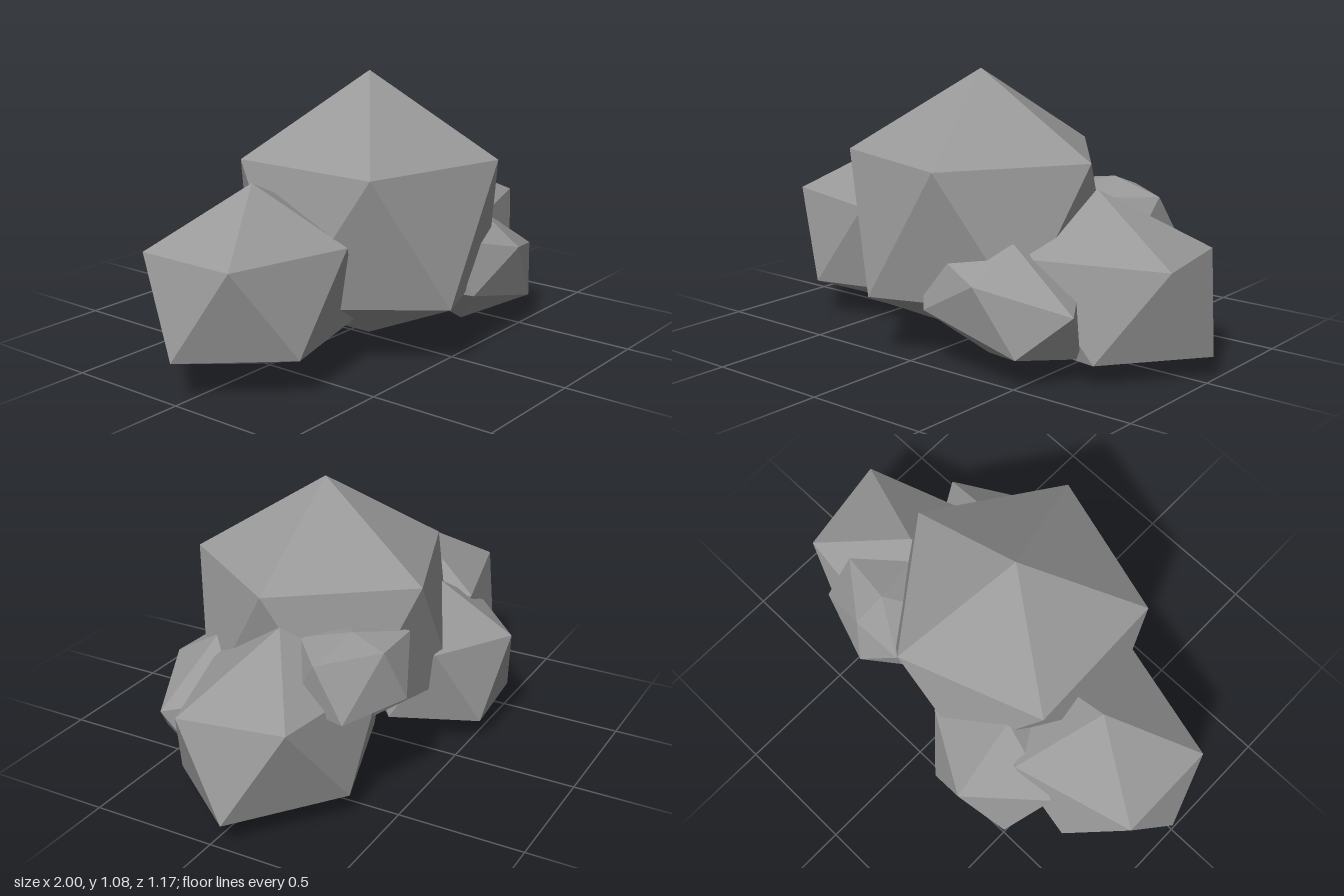
import * as THREE from 'three';
import { ConvexGeometry } from 'three/addons/geometries/ConvexGeometry.js';

const RING = 2 / Math.sqrt(5);   // ring radius of a unit icosahedron
const LEVEL = 1 / Math.sqrt(5);  // ring height of a unit icosahedron

// Twenty-sided boulder: two poles and two staggered rings of five.
// phase turns the upper ring (degrees); bottom lifts the lower pole to the ground.
function boulderPoints({ center, size, phase, tilt = 0, bottom }) {
  const points = [new THREE.Vector3(0, 1, 0), new THREE.Vector3(0, -1, 0)];
  for (let i = 0; i < 10; i++) {
    const a = THREE.MathUtils.degToRad(phase + i * 36);
    points.push(new THREE.Vector3(
      RING * Math.cos(a), i % 2 ? -LEVEL : LEVEL, RING * Math.sin(a)));
  }
  const scale = new THREE.Vector3(...size);
  const axis = new THREE.Vector3(0, 0, 1);
  const offset = new THREE.Vector3(...center);
  points.forEach(p => p.multiply(scale).applyAxisAngle(axis, tilt).add(offset));
  if (bottom !== undefined) points[1].y = bottom;
  return points;
}

export function createModel() {
  const group = new THREE.Group();
  group.name = 'boulderCluster';
  const material = new THREE.MeshStandardMaterial({ color: 0x999999, flatShading: true });

  const addRock = (name, points) => {
    const mesh = new THREE.Mesh(new ConvexGeometry(points), material);
    mesh.name = name;
    group.add(mesh);
  };

  // Large boulders resting on the ground, and a tilted stone in front
  const boulders = {
    mainBoulder: { center: [0.008, 0.505, 0.087], size: [0.578, 0.578, 0.578], phase: -1.7, bottom: 0.006 },
    rightBoulder: { center: [-0.56, 0.33, -0.02], size: [0.492, 0.395, 0.4], phase: 0, bottom: 0.018 },
    leftBoulder: { center: [0.504, 0.263, 0], size: [0.557, 0.391, 0.393], phase: 28.6, bottom: 0 },
    backBoulder: { center: [-0.3, 0.255, -0.27], size: [0.352, 0.352, 0.352], phase: 48.6, bottom: 0 },
    frontStone: { center: [0.328, 0.276, 0.36], size: [0.42, 0.228, 0.233], phase: 16.3, tilt: -0.245 },
  };
  for (const [name, spec] of Object.entries(boulders)) addRock(name, boulderPoints(spec));

  // Flatter stone wedged between the main and left boulders: poles, upper ring, lower ring
  addRock('backStone', [
    [0.41, 0.655, -0.255], [0.41, 0.29, -0.255],
    [0.64, 0.605, -0.22], [0.42, 0.605, -0.39], [0.2, 0.605, -0.385],
    [0.2, 0.605, -0.12], [0.45, 0.605, -0.055],
    [0.36, 0.41, -0.455], [0.66, 0.41, -0.35], [0.6, 0.41, -0.1],
    [0.28, 0.41, -0.06], [0.14, 0.41, -0.29],
  ].map(p => new THREE.Vector3(...p)));

  return group;
}
